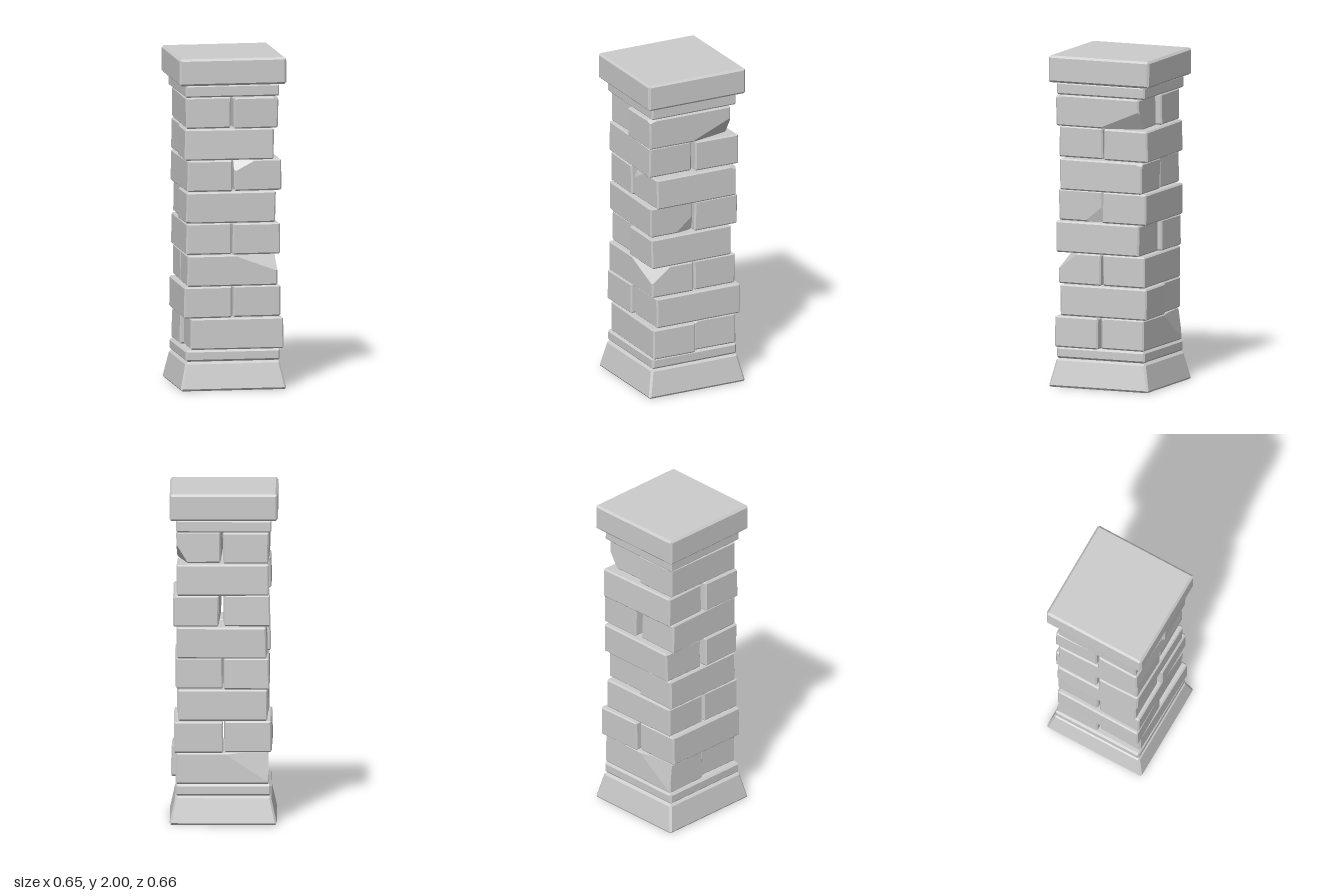
import * as THREE from 'three';
import { ConvexGeometry } from 'three/addons/geometries/ConvexGeometry.js';

const V = (x, y, z) => new THREE.Vector3(x, y, z);

// Small seeded generator, -1..1
let seed = 7;
const rand = () => {
  seed = (seed * 16807) % 2147483647;
  return (seed / 2147483647) * 2 - 1;
};

// Corner points of the solid bounded by planes n.p <= d
function solidFromPlanes(planes) {
  const points = [];
  for (let i = 0; i < planes.length; i++)
    for (let j = i + 1; j < planes.length; j++)
      for (let k = j + 1; k < planes.length; k++) {
        const [a, b, c] = [planes[i], planes[j], planes[k]];
        const bc = b.n.clone().cross(c.n);
        const det = a.n.dot(bc);
        if (Math.abs(det) < 1e-4) continue;
        const p = bc.multiplyScalar(a.d)
          .addScaledVector(c.n.clone().cross(a.n), b.d)
          .addScaledVector(a.n.clone().cross(b.n), c.d)
          .divideScalar(det);
        if (planes.every((q) => q.n.dot(p) <= q.d + 1e-6) &&
            points.every((q) => q.distanceTo(p) > 1e-4)) points.push(p);
      }
  return new ConvexGeometry(points);
}

// Bevelled stone block. slope leans the sides inwards, wobble tilts them
// slightly, and each chip is three points (in half-sizes) cut away by a plane.
function stone(name, [x0, x1], [y0, y1], [z0, z1],
  { bevel = 0.009, slope = 0, wobble = 0, chips = [] } = {}) {
  const half = V(x1 - x0, y1 - y0, z1 - z0).multiplyScalar(0.5);
  const faces = [];
  for (const s of [-1, 1]) {
    const tilt = () => rand() * wobble;
    faces.push({ axis: 0, n: V(s, slope + tilt(), tilt()), d: half.x - slope * half.y });
    faces.push({ axis: 1, n: V(0, s, 0), d: half.y });
    faces.push({ axis: 2, n: V(tilt(), slope + tilt(), s), d: half.z - slope * half.y });
  }
  const planes = [...faces];
  faces.forEach((a, i) => faces.slice(i + 1).forEach((b) => {
    if (a.axis !== b.axis) planes.push({ n: a.n.clone().add(b.n), d: a.d + b.d - bevel });
  }));
  for (const chip of chips) {
    const [a, b, c] = chip.map((p) => V(...p).multiply(half));
    const n = b.sub(a).cross(c.sub(a)).normalize();
    if (n.dot(a) < 0) n.negate();
    planes.push({ n, d: n.dot(a) });
  }
  const mesh = new THREE.Mesh(
    solidFromPlanes(planes),
    new THREE.MeshStandardMaterial({ color: 0xcccccc, flatShading: true })
  );
  mesh.name = name;
  mesh.position.set((x0 + x1) / 2, (y0 + y1) / 2, (z0 + z1) / 2);
  return mesh;
}

// Two bricks per course: x range, z range, chips
const courses = [
  [[[-0.25, 0.31], [0.005, 0.285]],
   [[-0.27, 0.28], [-0.282, -0.002],
    [[[0, 1, -1], [-1, -0.7, -1], [-0.94, 1, -0.86]], [[1, 0.7, 1], [1, 1, 0.6], [0.93, 1, 1]]]]],
  [[[-0.29, -0.005], [-0.27, 0.28]],
   [[0.005, 0.295], [-0.3, 0.26]]],
  [[[-0.27, 0.275], [0.005, 0.282],
    [[[0, 1, 1], [1, -0.1, 1], [1, 1, 0.05]]]],
   [[-0.265, 0.27], [-0.28, -0.005]]],
  [[[-0.275, -0.002], [-0.275, 0.26]],
   [[0.002, 0.285], [-0.25, 0.29]]],
  [[[-0.28, 0.26], [0.005, 0.28],
    [[[1, 0, -1], [1, -1, -0.1], [0.9, -1, -1]], [[-1, -0.75, 1], [-0.7, -1, 1], [-1, -1, 0.8]]]],
   [[-0.26, 0.278], [-0.295, -0.01]]],
  [[[-0.275, -0.002], [-0.26, 0.272]],
   [[0.02, 0.3], [-0.275, 0.262],
    [[[-1, 0.3, 1], [-0.1, 1, 1], [-1, 1, 0.88]], [[1, 0.75, -1], [1, 1, -0.75], [0.8, 1, -1]]]]],
  [[[-0.285, 0.25], [0.005, 0.28]],
   [[-0.27, 0.275], [-0.295, -0.012]]],
  [[[-0.275, -0.002], [-0.27, 0.26]],
   [[0.01, 0.277], [-0.245, 0.3],
    [[[1, -1, 0], [1, 0.15, -1], [0.5, -1, -1]], [[1, 0.75, 1], [1, 1, 0.75], [0.7, 1, 1]]]]],
];

export function createModel() {
  seed = 7;
  const pillar = new THREE.Group();
  pillar.name = 'brickPillar';

  // Sloped foot and lower ledge
  pillar.add(stone('foot', [-0.322, 0.322], [0, 0.17], [-0.327, 0.327], { slope: 0.22, bevel: 0.012 }));
  pillar.add(stone('lowerLedge', [-0.284, 0.287], [0.172, 0.241], [-0.287, 0.287], { wobble: 0.01, bevel: 0.012 }));

  // Brick courses, laid crosswise in turn
  const bottom = 0.242, step = 0.19;
  courses.forEach((bricks, row) => {
    const course = new THREE.Group();
    course.name = `course${row + 1}`;
    const y = bottom + row * step;
    bricks.forEach(([xs, zs, chips], i) => {
      course.add(stone(i ? 'brickB' : 'brickA', xs, [y, y + step - 0.002], zs, { wobble: 0.025, chips }));
    });
    pillar.add(course);
  });

  // Upper ledge and cap
  pillar.add(stone('upperLedge', [-0.287, 0.282], [1.763, 1.836], [-0.287, 0.287], { wobble: 0.01 }));
  pillar.add(stone('cap', [-0.326, 0.32], [1.838, 2], [-0.327, 0.327], { wobble: 0.01, bevel: 0.013 }));
  return pillar;
}
